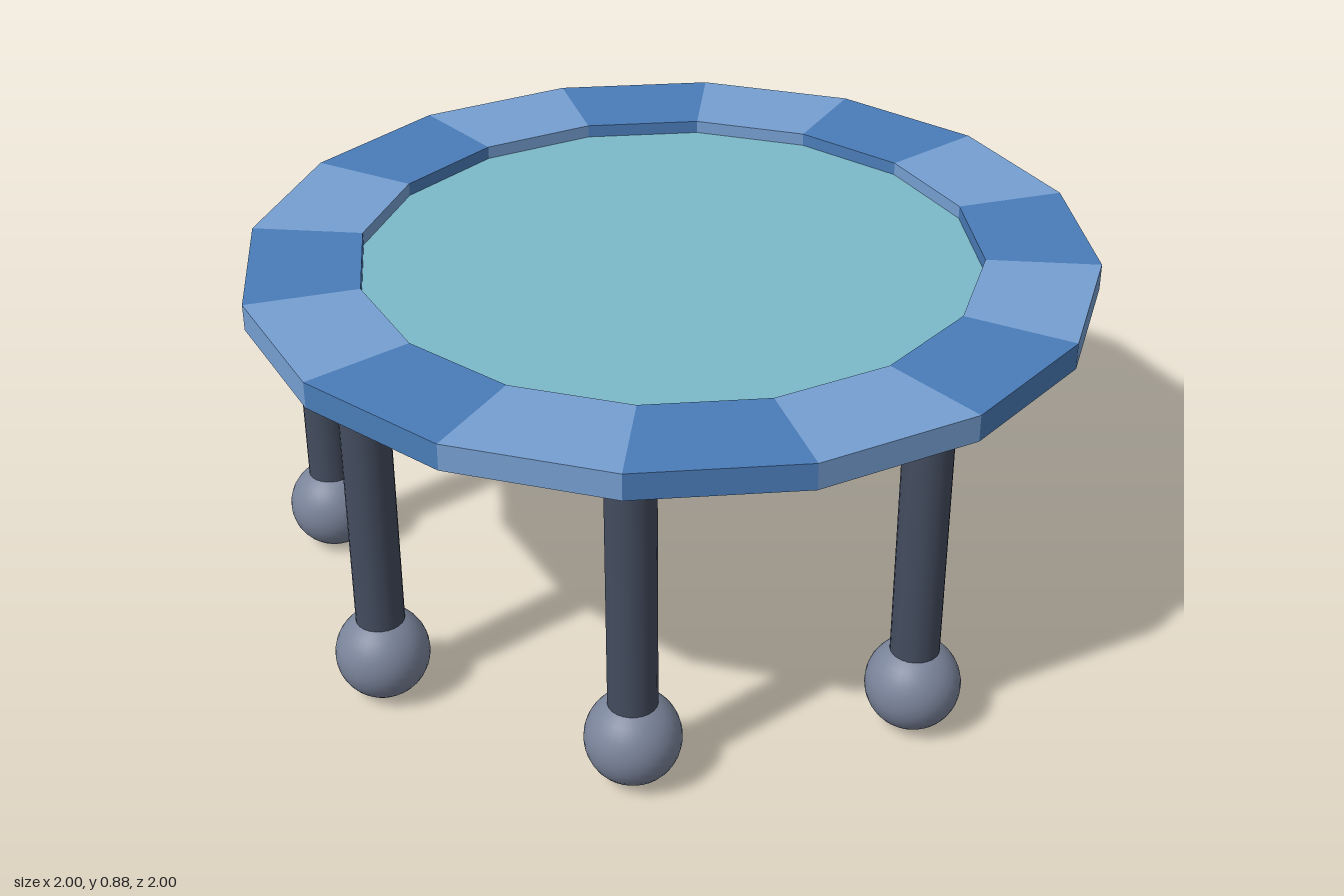
import * as THREE from 'three';
import { mergeGeometries } from 'three/addons/utils/BufferGeometryUtils.js';

const SIDES = 16;
const TOP = 0.875, BOTTOM = 0.812;
const OUTER = 1, INNER = 0.733;
const LEG_CIRCLE = 0.86, LEG_RADIUS = 0.056, BALL_RADIUS = 0.109;

const material = (name, color, options = {}) => {
  const m = new THREE.MeshStandardMaterial({ color, ...options });
  m.name = name;
  return m;
};

// One straight wedge of the padded rim
function rimWedge(index) {
  const profile = [
    [INNER, BOTTOM], [OUTER, BOTTOM], [OUTER, TOP], [INNER, TOP], [INNER, BOTTOM],
  ].map(([r, y]) => new THREE.Vector2(r, y));
  const step = (Math.PI * 2) / SIDES;
  const wedge = new THREE.LatheGeometry(profile, 1, index * step, step).toNonIndexed();
  wedge.computeVertexNormals();
  return wedge;
}

export function createModel() {
  const model = new THREE.Group();
  model.name = 'trampoline';

  const darkBlue = material('darkBlue', 0x4a7cb8);
  const lightBlue = material('lightBlue', 0x769fd2);
  const aqua = material('aqua', 0x7cbaca, { side: THREE.DoubleSide });
  const slate = material('slate', 0x434c5e);
  const grey = material('grey', 0x7a849a);

  const add = (parent, name, geometry, mat, x = 0, y = 0, z = 0) => {
    const mesh = new THREE.Mesh(geometry, mat);
    mesh.name = name;
    mesh.position.set(x, y, z);
    parent.add(mesh);
  };

  // Rim pads in two alternating colours
  [['darkRimPads', darkBlue], ['lightRimPads', lightBlue]].forEach(([name, mat], parity) => {
    const wedges = [];
    for (let i = parity; i < SIDES; i += 2) wedges.push(rimWedge(i));
    add(model, name, mergeGeometries(wedges), mat);
  });

  // Jumping mat, set halfway down inside the rim
  const mat = new THREE.CircleGeometry(INNER, SIDES).rotateX(-Math.PI / 2);
  add(model, 'jumpingMat', mat, aqua, 0, (TOP + BOTTOM) / 2, 0);

  // Five legs with ball feet around the front half
  const legHeight = BOTTOM - BALL_RADIUS;
  const legGeometry = new THREE.CylinderGeometry(LEG_RADIUS, LEG_RADIUS, legHeight, 24);
  const footGeometry = new THREE.SphereGeometry(BALL_RADIUS, 32, 20);
  for (let i = 0; i < 5; i++) {
    const angle = (i * Math.PI) / 4;
    const leg = new THREE.Group();
    leg.name = 'legWithFoot';
    leg.position.set(Math.cos(angle) * LEG_CIRCLE, 0, Math.sin(angle) * LEG_CIRCLE);
    add(leg, 'leg', legGeometry, slate, 0, BALL_RADIUS + legHeight / 2, 0);
    add(leg, 'ballFoot', footGeometry, grey, 0, BALL_RADIUS, 0);
    model.add(leg);
  }

  return model;
}
